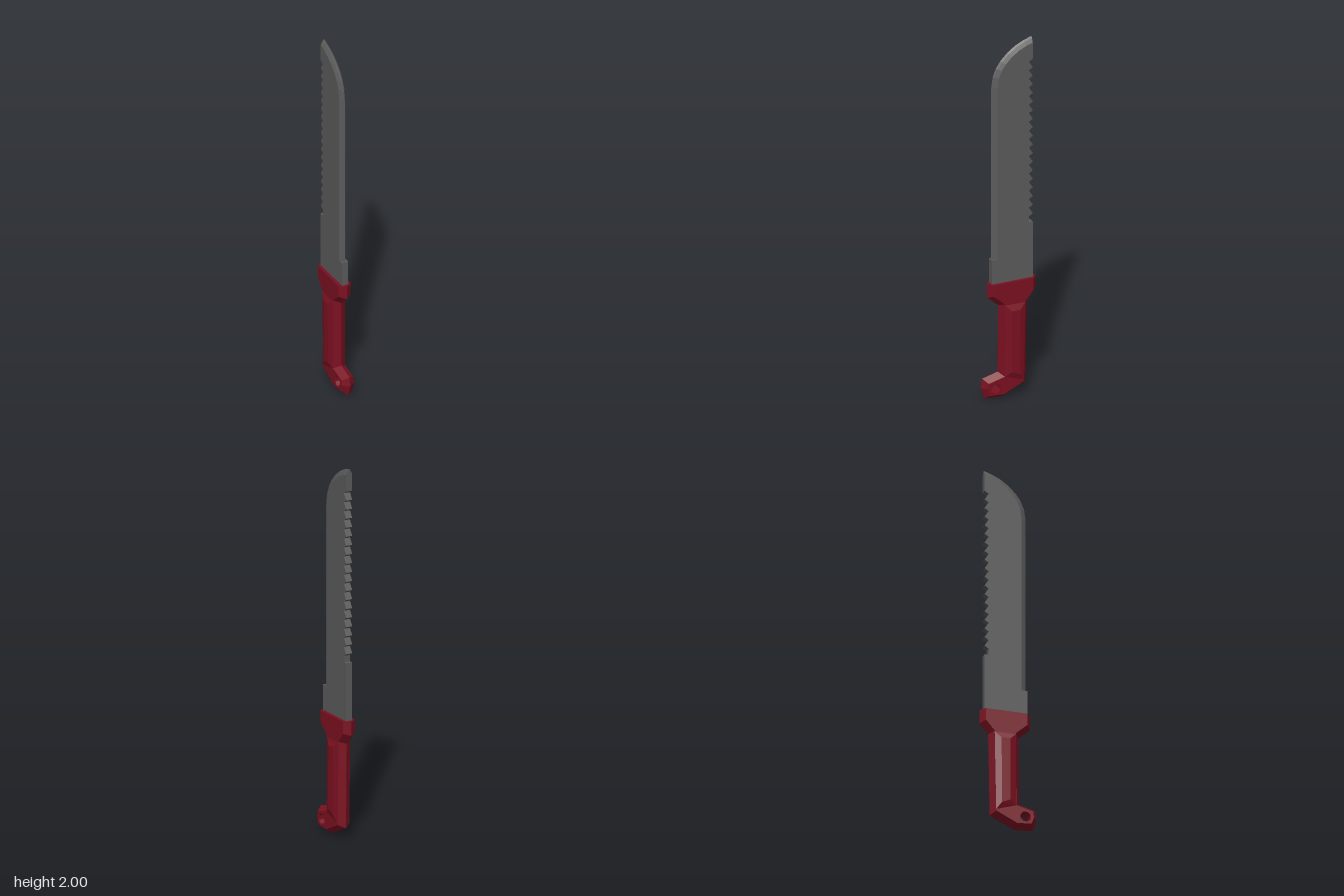
import * as THREE from 'three';

const steel = new THREE.MeshStandardMaterial({ color: 0x5a5a5a, flatShading: true });
const red = new THREE.MeshStandardMaterial({ color: 0x7a1020, flatShading: true });

const toShape = (pts) => new THREE.Shape(pts.map(([z, y]) => new THREE.Vector2(z, y)));

// Extrude a (z, y) side outline across x, centred on x = 0
function sideExtrude(shape, depth, bevel = {}) {
  const geo = new THREE.ExtrudeGeometry(shape, { depth, bevelEnabled: false, ...bevel });
  geo.translate(0, 0, -depth / 2);
  geo.rotateY(-Math.PI / 2);
  return geo;
}

function addMesh(group, name, geo, material) {
  geo.computeVertexNormals();
  const mesh = new THREE.Mesh(geo, material);
  mesh.name = name;
  group.add(mesh);
}

// Move the cutting curve inward by d, keeping its ends square
function inset(pts, d) {
  return pts.map(([z, y], i) => {
    const a = pts[Math.max(i - 1, 0)], b = pts[Math.min(i + 1, pts.length - 1)];
    const tz = b[0] - a[0], ty = b[1] - a[1], len = Math.hypot(tz, ty);
    if (i === pts.length - 1) return [z, y - d * len / Math.abs(tz)];
    return [z - d * ty / len, y + d * tz / len];
  });
}

function createBlade() {
  const blade = new THREE.Group();
  blade.name = 'blade';
  const half = 0.018, back = -0.13;
  const curve = [[0.096, 0.78], [0.096, 1.75], [0.088, 1.81], [0.07, 1.855], [0.045, 1.892],
    [0.005, 1.932], [-0.04, 1.964], [-0.085, 1.985], [back, 2.0]];
  const inner = inset(curve, 0.028), mid = inset(curve, 0.009);

  // Flat body with a square heel and saw teeth along the back
  const outline = [[back, 0.62], [0.1, 0.62], [0.1, 0.785], [inner[0][0], 0.785], ...inner.slice(1)];
  const teeth = 19, y0 = 0.96, y1 = 1.88, pitch = (y1 - y0) / teeth;
  outline.push([back, y1]);
  for (let i = 0; i < teeth; i++) {
    const top = y1 - i * pitch;
    outline.push([back + 0.022, top - pitch * 0.3]);
    if (i < teeth - 1) outline.push([back, top - pitch]);
  }
  outline.push([back + 0.022, y0], [back, y0]);
  addMesh(blade, 'bladeBody', sideExtrude(toShape(outline), half * 2), steel);

  // Two-step ground edge running up to the tip
  const rows = [[inner, -half], [mid, -0.007], [curve, 0], [mid, 0.007], [inner, half]];
  const pos = [], index = [], n = rows.length;
  curve.forEach((_, i) => rows.forEach(([line, x]) => pos.push(x, line[i][1], line[i][0])));
  for (let i = 0; i < curve.length - 1; i++) {
    for (let j = 0; j < n - 1; j++) {
      const a = i * n + j, c = a + n;
      index.push(a, a + 1, c, a + 1, c + 1, c);
    }
  }
  const end = (curve.length - 1) * n;
  for (let j = 1; j < n - 1; j++) index.push(end, end + j, end + j + 1);
  const edge = new THREE.BufferGeometry();
  edge.setAttribute('position', new THREE.Float32BufferAttribute(pos, 3));
  edge.setIndex(index);
  addMesh(blade, 'cuttingEdge', edge.toNonIndexed(), steel);
  return blade;
}

function createHandle() {
  const handle = new THREE.Group();
  handle.name = 'handle';
  const bevel = 0.025, top = 0.65, hole = { z: 0.085, y: 0.07, r: 0.029 };

  // Guard, grip and hooked pommel share one outline with a ridge around it
  const body = toShape([
    [0.12, top + bevel], [0.12, 0.575], [0.057, 0.52], [0.06, 0.145], [0.148, 0.122],
    [0.155, 0.07], [0.136, 0.01], [0.035, 0.002], [-0.097, 0.065],
    [-0.105, 0.52], [-0.152, 0.575], [-0.152, top + bevel]]);
  const ring = [];
  for (let i = 0; i < 8; i++) {
    const a = (i + 0.5) * Math.PI / 4;
    ring.push(new THREE.Vector2(hole.z + 0.005 * Math.cos(a), hole.y + 0.005 * Math.sin(a)));
  }
  body.holes.push(new THREE.Path(ring));
  const geo = sideExtrude(body, 0.002, {
    bevelEnabled: true, bevelSegments: 1, bevelThickness: 0.034, bevelSize: bevel, bevelOffset: -bevel });

  // Flatten the guard's top and make the lanyard hole straight
  const p = geo.attributes.position;
  for (let i = 0; i < p.count; i++) {
    const dz = p.getZ(i) - hole.z, dy = p.getY(i) - hole.y, r = Math.hypot(dz, dy);
    if (r < 0.036) {
      p.setZ(i, hole.z + dz / r * hole.r);
      p.setY(i, hole.y + dy / r * hole.r);
    }
    p.setY(i, Math.min(p.getY(i), top));
  }
  addMesh(handle, 'gripAndGuard', geo, red);

  // Raised palm swell on both sides of the grip
  const swell = toShape([[0.032, 0.525], [-0.081, 0.525], [-0.073, 0.09], [0.034, 0.125]]);
  addMesh(handle, 'palmSwell', sideExtrude(swell, 0.07, {
    bevelEnabled: true, bevelSegments: 1, bevelThickness: 0.012, bevelSize: 0.033, bevelOffset: -0.033 }), red);
  return handle;
}

export function createModel() {
  const model = new THREE.Group();
  model.name = 'machete';
  model.add(createBlade(), createHandle());
  return model;
}
